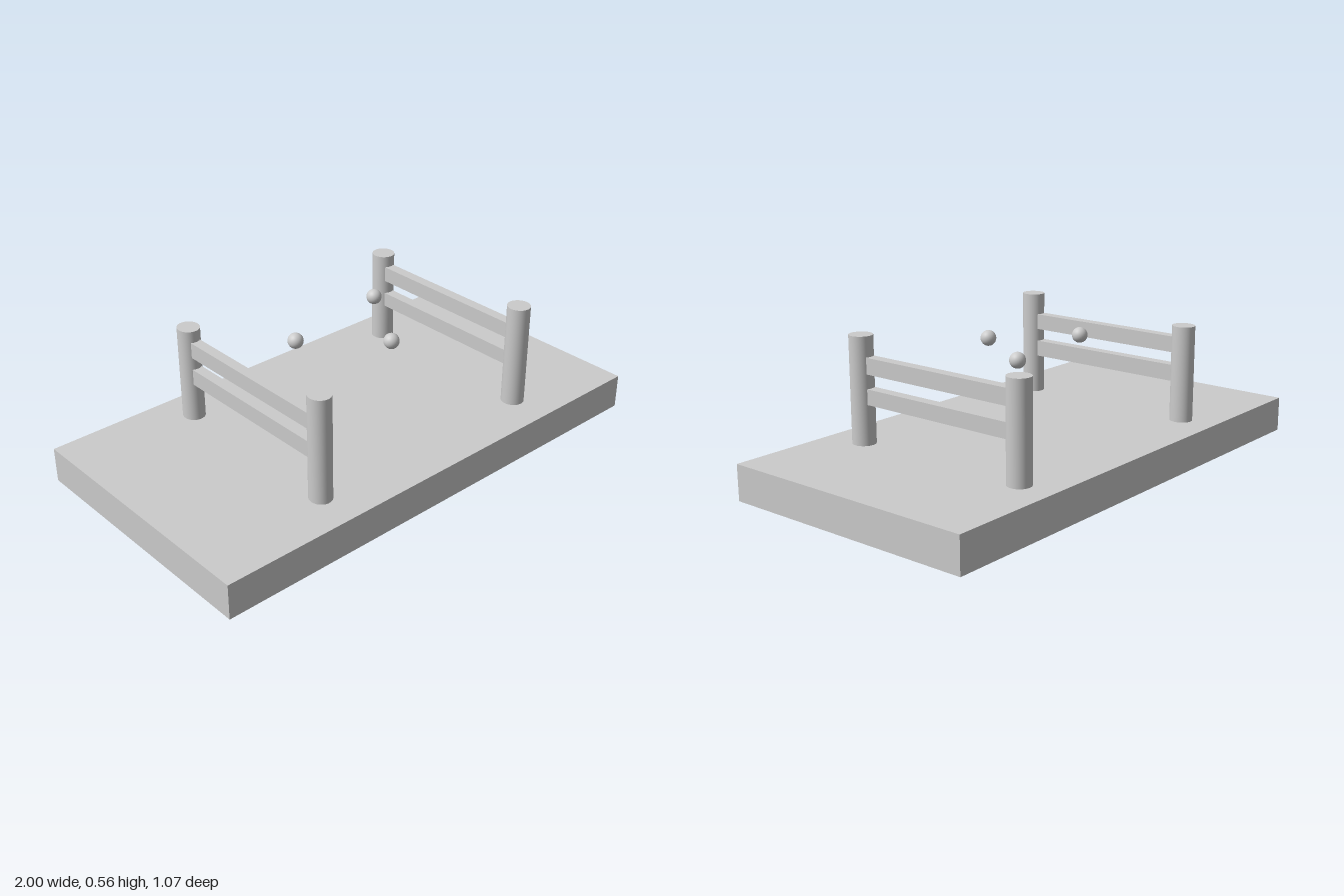
import * as THREE from 'three';

const material = new THREE.MeshStandardMaterial({ color: 0xcccccc });
const BASE_TOP = 0.14;

function addMesh(parent, name, geometry, x, y, z) {
  const mesh = new THREE.Mesh(geometry, material);
  mesh.name = name;
  mesh.position.set(x, y, z);
  parent.add(mesh);
  return mesh;
}

// Two round posts joined by two horizontal rails
function makeFence({ name, x, railX, radiusX, frontTop, backTop, lowerRailTop }) {
  const fence = new THREE.Group();
  fence.name = name;
  const frontZ = 0.365, backZ = -0.386, radiusZ = 0.046;

  for (const [part, z, top] of [['frontPost', frontZ, frontTop], ['backPost', backZ, backTop]]) {
    const height = top - BASE_TOP;
    const post = addMesh(fence, part, new THREE.CylinderGeometry(1, 1, height, 32),
      x, BASE_TOP + height / 2, z);
    post.scale.set(radiusX, 1, radiusZ);
  }

  // Rails run into the posts at both ends
  const length = frontZ - backZ - 0.06;
  for (const [part, bottom, top] of [['upperRail', 0.413, 0.476], ['lowerRail', 0.297, lowerRailTop]]) {
    addMesh(fence, part, new THREE.BoxGeometry(0.043, top - bottom, length),
      railX, (top + bottom) / 2, (frontZ + backZ) / 2);
  }
  return fence;
}

export function createModel() {
  const model = new THREE.Group();
  model.name = 'fencedPlatform';

  // Slab
  addMesh(model, 'base', new THREE.BoxGeometry(2, BASE_TOP, 1.066), 0, BASE_TOP / 2, 0);

  // Fences on both sides
  model.add(makeFence({ name: 'rightFence', x: -0.464, railX: -0.463, radiusX: 0.043,
    frontTop: 0.561, backTop: 0.522, lowerRailTop: 0.362 }));
  model.add(makeFence({ name: 'leftFence', x: 0.539, railX: 0.535, radiusX: 0.045,
    frontTop: 0.555, backTop: 0.522, lowerRailTop: 0.357 }));

  // Floating balls
  const ball = new THREE.SphereGeometry(0.0305, 24, 16);
  [[-0.195, -0.083], [0.069, 0.157], [0.275, -0.16]].forEach(([x, z], i) =>
    addMesh(model, `ball${i + 1}`, ball, x, 0.488, z));

  return model;
}
